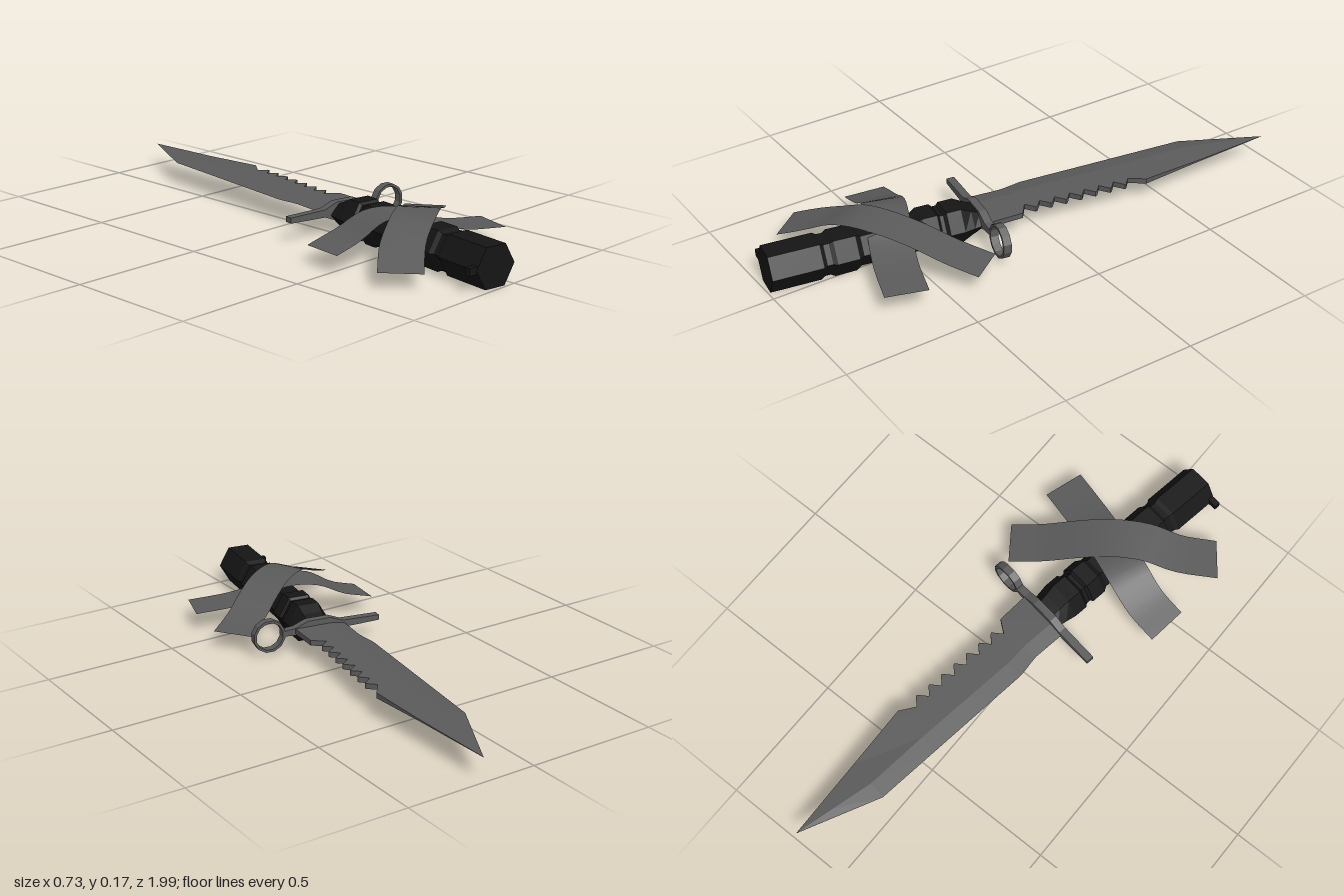
import * as THREE from 'three';

const AXIS_X = 0.077;   // handle centre line, in the tilted knife frame
const BLADE_Y = 0.088;

const material = (color, extra = {}) => new THREE.MeshStandardMaterial({ color, ...extra });
const black = material(0x151515, { flatShading: true });
const steel = material(0x5a5a5a, { flatShading: true });
const cloth = material(0x5a5a5a, { side: THREE.DoubleSide });

function add(parent, name, geometry, mat, x = 0, y = 0, z = 0) {
  const mesh = new THREE.Mesh(geometry, mat);
  mesh.name = name;
  mesh.position.set(x, y, z);
  parent.add(mesh);
  return mesh;
}

// Join equal-length closed loops of [x, y, z] into one skin
function skin(loops) {
  const n = loops[0].length, index = [];
  for (let s = 0; s < loops.length - 1; s++) {
    for (let i = 0; i < n; i++) {
      const a = s * n + i, b = s * n + (i + 1) % n;
      index.push(a, b, b + n, a, b + n, a + n);
    }
  }
  const g = new THREE.BufferGeometry();
  g.setAttribute('position', new THREE.Float32BufferAttribute(loops.flat(2), 3));
  g.setIndex(index);
  g.computeVertexNormals();
  return g;
}

// Six-sided grip with grooves, flattened where it meets the guard
function handleGeometry() {
  const profile = [
    [0, 0.195], [0.07, 0.2], [0.075, 0.235], [0.082, 0.275], [0.082, 0.33], [0.072, 0.34],
    [0.072, 0.355], [0.082, 0.365], [0.082, 0.42], [0.07, 0.44], [0.07, 0.65], [0.082, 0.67],
    [0.083, 0.75], [0.074, 0.765], [0.074, 0.785], [0.083, 0.8], [0.083, 0.985], [0, 0.985],
  ].map(([r, z]) => new THREE.Vector2(r, z));
  const g = new THREE.LatheGeometry(profile, 6, Math.PI / 6);
  g.rotateX(Math.PI / 2);
  const p = g.attributes.position;
  for (let i = 0; i < p.count; i++) {
    const t = THREE.MathUtils.clamp((p.getZ(i) - 0.2) / 0.075, 0, 1);
    p.setY(i, p.getY(i) * (0.6 + 0.4 * t));
  }
  return g;
}

// Blade stations: z, cutting edge x, spine x, spine half thickness
function bladeGeometry() {
  const edge = z => {
    if (z > 0.05) return -0.03;
    if (z > -0.03) return THREE.MathUtils.mapLinear(z, 0.05, -0.03, -0.03, -0.047);
    return THREE.MathUtils.mapLinear(z, -0.03, -0.703, -0.047, -0.06);
  };
  const t = 0.01;
  const stations = [[0.2, -0.03, 0.172, t], [0.055, -0.03, 0.164, t]];
  const teeth = 8, pitch = 0.06;
  for (let i = 0; i < teeth; i++) {
    const z = 0.025 - i * pitch;
    stations.push([z, edge(z), 0.113, t]);
    if (i < teeth - 1) {
      stations.push([z - 0.03, edge(z - 0.03), 0.147, t]);
      stations.push([z - 0.038, edge(z - 0.038), 0.143, t]);
    }
  }
  stations.push([-0.455, edge(-0.455), 0.146, t], [-0.703, -0.06, 0.101, 0.003],
    [-0.86, -0.008, 0.072, 0.002], [-1.013, 0.043, 0.044, 0.0005]);
  return skin(stations.map(([z, l, r, h]) => {
    const m = l + (Math.min(r, 0.113) - l) * 0.4;
    const ridge = z < -1 ? 0.0005 : z < -0.8 ? 0.006 : t;
    return [[l, 0, z], [m, ridge, z], [r, h, z], [r, -h, z], [m, -ridge, z]];
  }));
}

// Flat cloth strip of constant width along a curve of [x, y, z] points
function ribbonGeometry(points, width, steps = 24) {
  const curve = new THREE.CatmullRomCurve3(points.map(p => new THREE.Vector3(...p)));
  const g = new THREE.PlaneGeometry(1, 1, steps, 1);
  const p = g.attributes.position;
  for (let i = 0; i <= steps; i++) {
    const c = curve.getPoint(i / steps), d = curve.getTangent(i / steps);
    const side = new THREE.Vector3(d.z, 0, -d.x).normalize().multiplyScalar(width / 2);
    const a = c.clone().add(side), b = c.clone().sub(side);
    p.setXYZ(i, a.x, a.y, a.z);
    p.setXYZ(i + steps + 1, b.x, b.y, b.z);
  }
  g.computeVertexNormals();
  return g;
}

export function createModel() {
  const model = new THREE.Group();
  model.name = 'ribbonedKnife';

  const knife = new THREE.Group();
  knife.name = 'knife';
  knife.rotation.y = -0.16;
  model.add(knife);

  add(knife, 'handle', handleGeometry(), black, AXIS_X, 0.074, 0);
  add(knife, 'pommelLug', new THREE.BoxGeometry(0.08, 0.027, 0.022), black, 0.005, 0.075, 0.973);
  add(knife, 'blade', bladeGeometry(), steel, 0, BLADE_Y, 0);

  // Crossguard bar, thicker round the blade
  const half = [[-0.171, 0.01], [-0.02, 0.014], [0.03, 0.034], [0.12, 0.034], [0.17, 0.014], [0.217, 0.01]];
  const outline = [...half.map(([x, y]) => [x, -y]), ...half.slice().reverse()];
  const guard = new THREE.Shape(outline.map(([x, y]) => new THREE.Vector2(x, y)));
  add(knife, 'guard', new THREE.ExtrudeGeometry(guard, { depth: 0.03, bevelEnabled: false }),
    steel, 0, 0.086, 0.178);

  // Twelve-sided ring at the end of the guard
  const polygon = (r, Type) => new Type(Array.from({ length: 12 }, (_, i) => {
    const a = (i + 0.5) * Math.PI / 6;
    return new THREE.Vector2(r * Math.cos(a), r * Math.sin(a));
  }));
  const ring = polygon(0.063, THREE.Shape);
  ring.holes.push(polygon(0.053, THREE.Path));
  add(knife, 'guardRing', new THREE.ExtrudeGeometry(ring, { depth: 0.03, bevelEnabled: false }),
    steel, 0.273, 0.085, 0.178);

  // Two crossed cloth strips draped over the grip
  add(model, 'upperRibbon', ribbonGeometry([
    [-0.317, 0.06, 0.785], [-0.2, 0.115, 0.692], [-0.09, 0.162, 0.635], [0.02, 0.164, 0.568],
    [0.12, 0.138, 0.495], [0.22, 0.098, 0.42], [0.325, 0.072, 0.347],
  ], 0.152), cloth);
  add(model, 'lowerRibbon', ribbonGeometry([
    [-0.333, 0.068, 0.452], [-0.22, 0.102, 0.466], [-0.12, 0.152, 0.493], [-0.02, 0.154, 0.535],
    [0.07, 0.115, 0.575], [0.17, 0.088, 0.615], [0.318, 0.075, 0.662],
  ], 0.155), cloth);

  return model;
}
